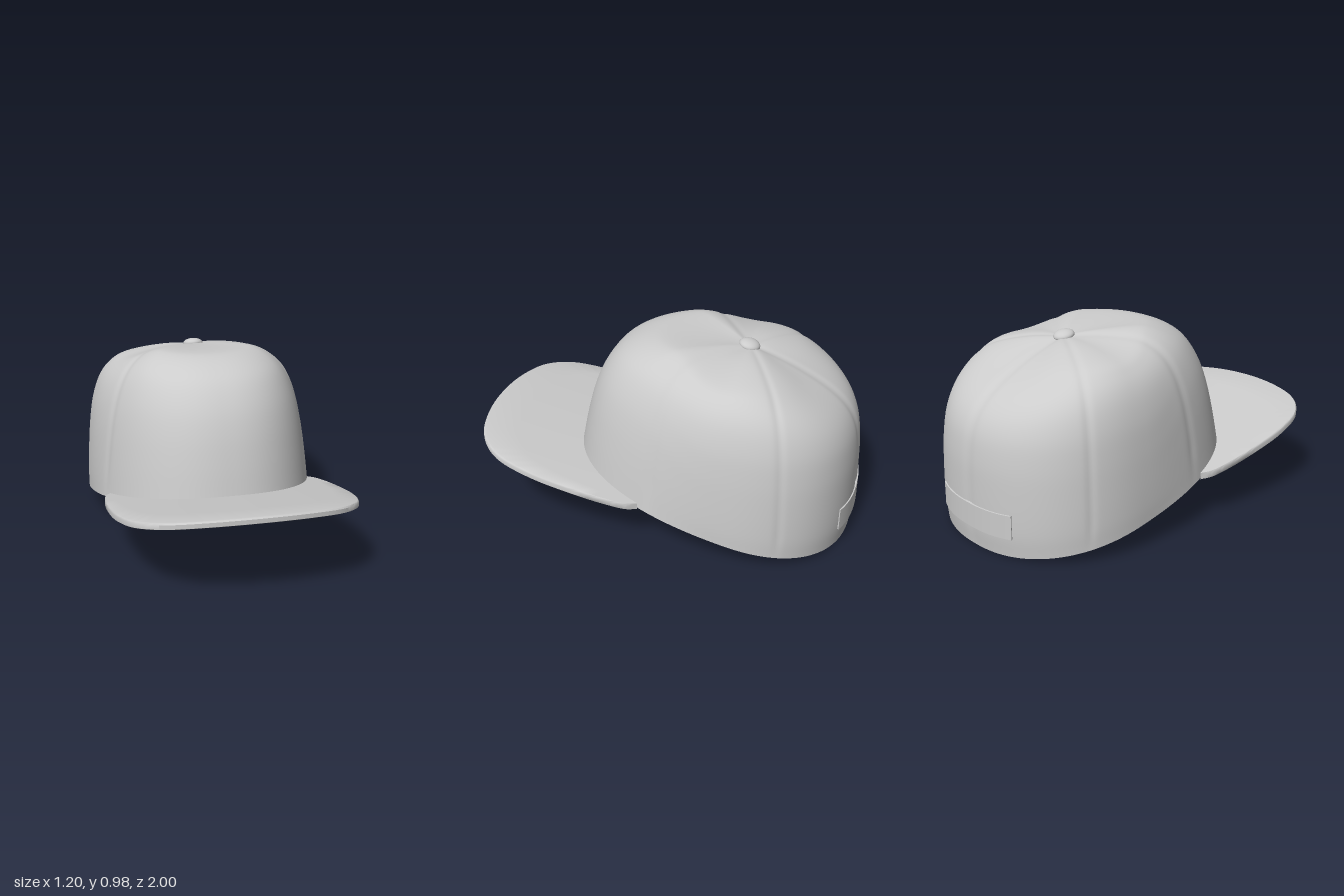
import * as THREE from 'three';
import { toCreasedNormals } from 'three/addons/utils/BufferGeometryUtils.js';

const CZ = -0.4; // crown axis, under the button
const rimY = z => 0.23 + (z - 0.04) * 0.225;

// Surface from cross-sections: point(i, j) for i in 0..nu, j in 0..nv
function grid(nu, nv, point, closed = false) {
  const pos = [], idx = [], cols = closed ? nu : nu + 1;
  for (let i = 0; i < cols; i++) for (let j = 0; j <= nv; j++) pos.push(...point(i, j));
  for (let i = 0; i < nu; i++) for (let j = 0; j < nv; j++) {
    const a = i * (nv + 1) + j, c = ((i + 1) % cols) * (nv + 1) + j;
    idx.push(a, a + 1, c, c, a + 1, c + 1);
  }
  const g = new THREE.BufferGeometry();
  g.setAttribute('position', new THREE.Float32BufferAttribute(pos, 3));
  g.setIndex(idx);
  g.computeVertexNormals();
  return g;
}

// Crown profiles (relative radius, height) from the rim to the button
const profile = pts => new THREE.CatmullRomCurve3(
  pts.map(([r, y]) => new THREE.Vector3(r, y, 0)), false, 'catmullrom', 0.5);
const front = profile([[1, .33], [.96, .5], [.914, .65], [.857, .77], [.777, .87],
  [.686, .93], [.571, .97], [.457, .98], [.229, .965], [0, .94]]);
const side = profile([[1, .13], [1, .22], [.99, .35], [.97, .5], [.935, .64],
  [.87, .76], [.775, .84], [.64, .89], [.33, .93], [0, .94]]);
const back = profile([[.965, 0], [.987, .12], [.988, .3], [.977, .45], [.937, .58],
  [.845, .68], [.68, .765], [.42, .85], [.17, .91], [0, .94]]);

// Squarish oval plan, longer toward the front
const bow = v => Math.sign(v) * Math.abs(v) ** 0.87;
const plan = (th, r) => [0.6 * bow(Math.cos(th)) * r,
  CZ + (Math.sin(th) > 0 ? 0.878 : 0.6) * bow(Math.sin(th)) * r];

const seams = [0.39, Math.PI - 0.39, -0.45, Math.PI + 0.45, -Math.PI / 2];

function crownPoint(th, t) {
  const s = bow(Math.sin(th));
  const end = s > 0 ? front : back;
  const w = s > 0 ? THREE.MathUtils.smoothstep(s, 0, 0.72) : s * s;
  const p = side.getPoint(t).lerp(end.getPoint(t), w);
  const p0 = side.getPoint(0).lerp(end.getPoint(0), w);
  // keep the rim in one tilted plane
  const lift = (rimY(plan(th, p0.x)[1]) - p0.y) * (1 - t) ** 3;
  // shallow grooves between the panels
  let groove = 0;
  for (const a of seams) {
    const d = Math.atan2(Math.sin(th - a), Math.cos(th - a)) * p.x * 0.65;
    groove += Math.exp(-((d / 0.022) ** 2));
  }
  groove = Math.min(groove, 1) * Math.min(1, t * 8);
  const [x, z] = plan(th, p.x * (1 - 0.008 * groove));
  return [x, p.y + lift - 0.004 * groove, z];
}

// Brim outline, right half mirrored from the left half
const half = [[.545, .03], [.575, .08], [.592, .18], [.6, .38], [.588, .6], [.535, .79], [.42, .91], [.23, .975]];
const outline = new THREE.CatmullRomCurve3([
  ...half, [0, .997], ...half.map(([x, z]) => [-x, z]).reverse(),
].map(([x, z]) => new THREE.Vector3(x, 0, z)));

const BRIM_N = 96;
function brimPoint(i, j) {
  const u = i / BRIM_N;
  const o = outline.getPoint(u);
  const [ix, iz] = plan(0.39 + u * (Math.PI - 0.78), 0.91);
  // across the brim: underside outward, upright edge, top inward, inner wall
  const across = [0, .35, .7, .99, 1, 1, .99, .975, .7, .35, 0, 0][j];
  const thick = [-1, -1, -1, -1, -.85, .4, .85, 1, 1, 1, 1, -1][j] * 0.017;
  const x = ix + (o.x - ix) * across, z = iz + (o.z - iz) * across;
  const y = 0.23 + 0.2 * (z - 0.02) + 0.018 * (1 - (x / 0.6) ** 2);
  return [x, y + thick, z];
}

export function createModel() {
  const cap = new THREE.Group();
  cap.name = 'cap';
  const grey = new THREE.MeshStandardMaterial({ color: 0xcccccc });
  const add = (name, geometry) => {
    const mesh = new THREE.Mesh(geometry, grey);
    mesh.name = name;
    cap.add(mesh);
    return mesh;
  };

  // Panelled crown
  const N = 280, M = 44;
  add('crown', grid(N, M, (i, j) => crownPoint(i / N * Math.PI * 2, j / M), true));

  // Recessed underside with a rounded rim
  const scale = [0, .5, .91, .93, .97, 1], raise = [.02, .02, .02, .015, .001, 0];
  add('underside', grid(N, 5, (i, j) => {
    const [x, , z] = crownPoint(i / N * Math.PI * 2, 0);
    const zz = CZ + (z - CZ) * scale[j];
    return [x * scale[j], rimY(zz) + raise[j], zz];
  }, true));

  // Flat brim
  add('brim', toCreasedNormals(grid(BRIM_N, 11, brimPoint), 0.7));

  // Curved strap across the back
  const S = 24;
  add('backStrap', toCreasedNormals(grid(S, 3, (i, j) => {
    const th = -Math.PI / 2 + (Math.min(Math.max(i, 1), S - 1) / S - 0.5) * 0.94;
    const outer = i > 0 && i < S && (j === 1 || j === 2);
    const [x, z] = plan(th, outer ? 1 : 0.955);
    return [x, (j < 2 ? 0.1 : 0.22) + (z + 1) * 0.15, z];
  }), 0.6));

  // Top button
  const button = add('button', new THREE.SphereGeometry(0.054, 32, 16));
  button.scale.y = 0.5;
  button.position.set(0, 0.938, -0.398);
  button.rotation.x = -0.22;

  return cap;
}
